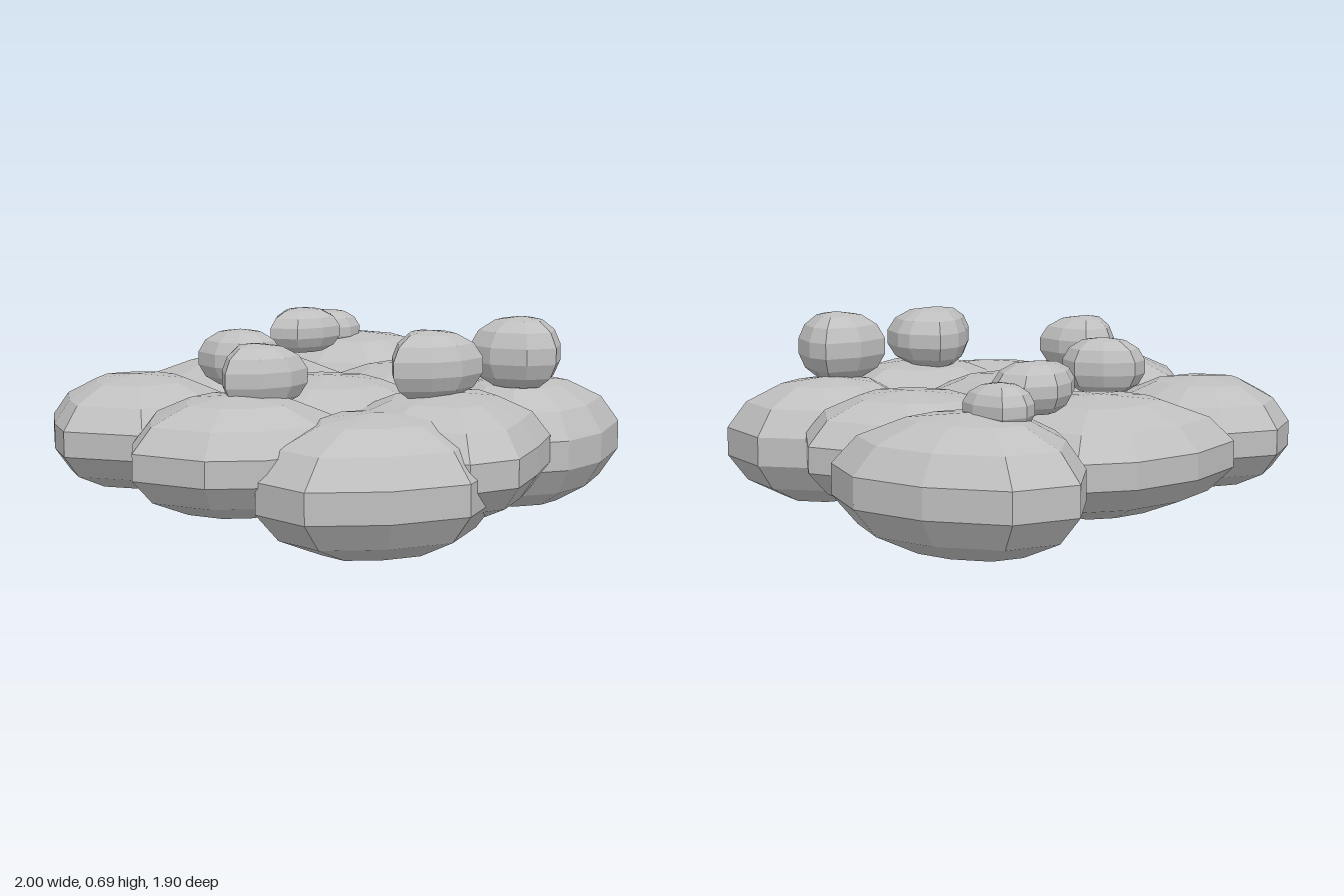
import * as THREE from 'three';

const RINGS = 7;

// Faceted stone: a plan outline [x, z] (clockwise from above) swept through a rounded height profile.
function stoneGeometry(outline, bottom, top, fullness) {
  const n = outline.length;
  const xs = outline.map(p => p[0]), zs = outline.map(p => p[1]);
  const cx = (Math.min(...xs) + Math.max(...xs)) / 2;
  const cz = (Math.min(...zs) + Math.max(...zs)) / 2;
  const mid = (bottom + top) / 2, half = (top - bottom) / 2;
  const widest = Math.cos(Math.PI / 2 / RINGS);
  const position = [cx, bottom, cz];
  const index = [];
  for (let k = 1; k < RINGS; k++) {
    const phi = -Math.PI / 2 + Math.PI * k / RINGS;
    const s = Math.pow(Math.cos(phi) / widest, fullness);
    for (const [x, z] of outline) {
      position.push(cx + (x - cx) * s, mid + half * Math.sin(phi), cz + (z - cz) * s);
    }
  }
  position.push(cx, top, cz);
  const last = 1 + (RINGS - 1) * n;
  for (let i = 0; i < n; i++) {
    const j = (i + 1) % n;
    index.push(0, 1 + i, 1 + j);
    for (let k = 0; k < RINGS - 2; k++) {
      const a = 1 + k * n + i, b = 1 + k * n + j;
      index.push(a, a + n, b, b, a + n, b + n);
    }
    index.push(last - n + i, last, last - n + j);
  }
  const geometry = new THREE.BufferGeometry();
  geometry.setAttribute('position', new THREE.Float32BufferAttribute(position, 3));
  geometry.setIndex(index);
  geometry.computeVertexNormals();
  return geometry;
}

export function createModel() {
  const model = new THREE.Group();
  model.name = 'stoneCluster';
  const stone = new THREE.MeshStandardMaterial({ color: 0xbfbfbf, flatShading: true });
  stone.name = 'stone grey';

  const add = (name, bottom, top, outline, fullness = 0.92) => {
    const mesh = new THREE.Mesh(stoneGeometry(outline, bottom, top, fullness), stone);
    mesh.name = name;
    model.add(mesh);
  };

  // Large flattened base stones
  add('backLeftStone', 0.10, 0.48, [[-0.2, -0.4], [-0.26, -0.2], [-0.45, -0.06], [-0.76, -0.12],
    [-0.89, -0.36], [-0.82, -0.5], [-0.71, -0.65], [-0.53, -0.75], [-0.34, -0.68], [-0.22, -0.55]]);
  add('backMiddleStone', 0.09, 0.48, [[0.44, -0.45], [0.34, -0.2], [0.1, -0.08], [-0.15, -0.1],
    [-0.36, -0.3], [-0.38, -0.55], [-0.29, -0.77], [-0.04, -0.84], [0.21, -0.82], [0.38, -0.73]]);
  add('backRightStone', 0.06, 0.50, [[0.995, -0.42], [0.91, -0.2], [0.64, -0.16], [0.42, -0.22],
    [0.3, -0.42], [0.29, -0.62], [0.4, -0.79], [0.58, -0.95], [0.79, -0.89], [0.94, -0.67]]);
  add('rightStone', 0.08, 0.47, [[0.77, 0.11], [0.61, 0.34], [0.36, 0.46], [0.1, 0.36],
    [0.0, 0.1], [0.05, -0.17], [0.2, -0.34], [0.45, -0.34], [0.62, -0.2], [0.7, -0.07]]);
  add('leftStone', 0.11, 0.49, [[-0.28, 0.2], [-0.34, 0.42], [-0.55, 0.55], [-0.78, 0.48],
    [-0.92, 0.36], [-1.0, 0.12], [-0.9, 0.0], [-0.76, -0.13], [-0.52, -0.16], [-0.34, -0.02]]);
  add('centreStone', 0.08, 0.48, [[0.28, 0.05], [0.2, 0.32], [0.0, 0.48], [-0.25, 0.46],
    [-0.45, 0.25], [-0.5, 0.0], [-0.36, -0.24], [-0.1, -0.34], [0.14, -0.24]]);
  add('frontLeftStone', 0.0, 0.45, [[0.03, 0.6], [-0.12, 0.83], [-0.37, 0.93], [-0.61, 0.83],
    [-0.8, 0.66], [-0.8, 0.45], [-0.62, 0.28], [-0.36, 0.2], [-0.1, 0.34]]);
  add('frontMiddleStone', 0.08, 0.48, [[0.32, 0.5], [0.21, 0.77], [0.02, 0.87], [-0.17, 0.95],
    [-0.34, 0.9], [-0.48, 0.62], [-0.42, 0.38], [-0.2, 0.22], [0.12, 0.24]]);
  add('frontRightStone', 0.03, 0.47, [[0.73, 0.45], [0.69, 0.69], [0.46, 0.79], [0.27, 0.8],
    [0.08, 0.7], [0.04, 0.48], [0.14, 0.28], [0.36, 0.2], [0.6, 0.28]]);

  // Small round pebbles on top
  add('innerPebble', 0.42, 0.62, [[-0.12, -0.2], [-0.15, -0.11], [-0.23, -0.09], [-0.32, -0.14],
    [-0.355, -0.22], [-0.34, -0.32], [-0.26, -0.35], [-0.17, -0.29]], 0.8);
  add('leftPebble', 0.43, 0.64, [[-0.4, 0.17], [-0.41, 0.28], [-0.5, 0.3], [-0.6, 0.27],
    [-0.68, 0.19], [-0.63, 0.12], [-0.54, 0.045], [-0.43, 0.06]], 0.8);
  add('frontPebble', 0.45, 0.675, [[0.05, 0.54], [0.01, 0.65], [-0.1, 0.66], [-0.2, 0.62],
    [-0.28, 0.53], [-0.19, 0.44], [-0.11, 0.39], [-0.02, 0.385], [0.045, 0.48]], 0.8);
  add('frontRightPebble', 0.44, 0.685, [[0.45, 0.53], [0.41, 0.65], [0.31, 0.71], [0.22, 0.66],
    [0.165, 0.55], [0.18, 0.45], [0.31, 0.42], [0.44, 0.45]], 0.8);
  add('backPebble', 0.45, 0.62, [[0.475, -0.47], [0.42, -0.39], [0.33, -0.385], [0.23, -0.42],
    [0.18, -0.51], [0.26, -0.58], [0.35, -0.61], [0.45, -0.57]], 0.8);
  add('backSmallPebble', 0.43, 0.585, [[0.66, -0.57], [0.64, -0.5], [0.57, -0.48], [0.49, -0.5],
    [0.47, -0.6], [0.5, -0.67], [0.56, -0.7], [0.64, -0.68]], 0.8);

  return model;
}
